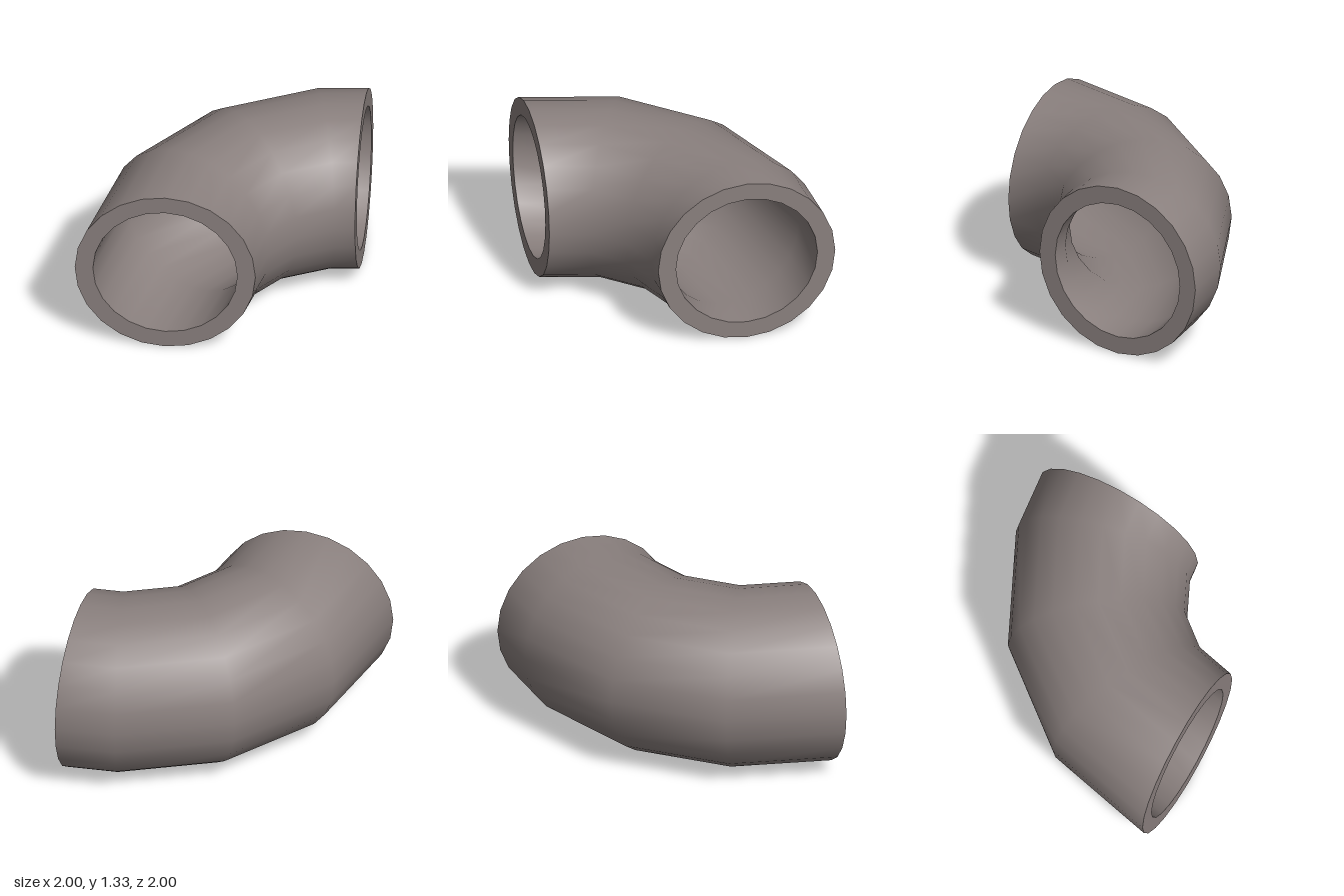
import * as THREE from 'three';

const SIDES = 24, BEND = 4 / 3, OUTER = 2 / 3, INNER = 0.533, MID_Y = 2 / 3;
// Bend stations: three even steps and a shorter last one
const STEP = Math.PI * 2 / 14;
const STATIONS = [0, STEP, 2 * STEP, 3 * STEP, Math.PI / 2];

// Tube wall swept around the vertical axis at x = 1, z = 1
function bentWall(radius, facing) {
  const pos = [], nor = [], idx = [];
  for (const a of STATIONS) {
    for (let j = 0; j <= SIDES; j++) {
      const t = (j / SIDES) * Math.PI * 2;
      const r = BEND + radius * Math.cos(t);
      pos.push(1 - r * Math.cos(a), MID_Y + radius * Math.sin(t), 1 - r * Math.sin(a));
      nor.push(-facing * Math.cos(t) * Math.cos(a), facing * Math.sin(t), -facing * Math.cos(t) * Math.sin(a));
    }
  }
  const row = SIDES + 1;
  for (let i = 0; i < STATIONS.length - 1; i++) {
    for (let j = 0; j < SIDES; j++) {
      const p = i * row + j, q = p + row;
      if (facing > 0) idx.push(p, p + 1, q, p + 1, q + 1, q);
      else idx.push(p, q, p + 1, p + 1, q, q + 1);
    }
  }
  const g = new THREE.BufferGeometry();
  g.setAttribute('position', new THREE.Float32BufferAttribute(pos, 3));
  g.setAttribute('normal', new THREE.Float32BufferAttribute(nor, 3));
  g.setIndex(idx);
  return g;
}

export function createModel() {
  const group = new THREE.Group();
  group.name = 'pipeElbow';
  const material = new THREE.MeshStandardMaterial({ color: 0x8a807e });
  const add = (name, geometry) => {
    const mesh = new THREE.Mesh(geometry, material);
    mesh.name = name;
    group.add(mesh);
    return mesh;
  };

  // Outer and inner walls
  add('outerWall', bentWall(OUTER, 1));
  add('innerWall', bentWall(INNER, -1));

  // Flat rims closing the wall thickness at both openings
  const rim = new THREE.RingGeometry(INNER, OUTER, SIDES);
  add('frontRim', rim).position.set(1 - BEND, MID_Y, 1);
  const sideRim = add('sideRim', rim);
  sideRim.position.set(1, MID_Y, 1 - BEND);
  sideRim.rotation.y = Math.PI / 2;

  return group;
}
